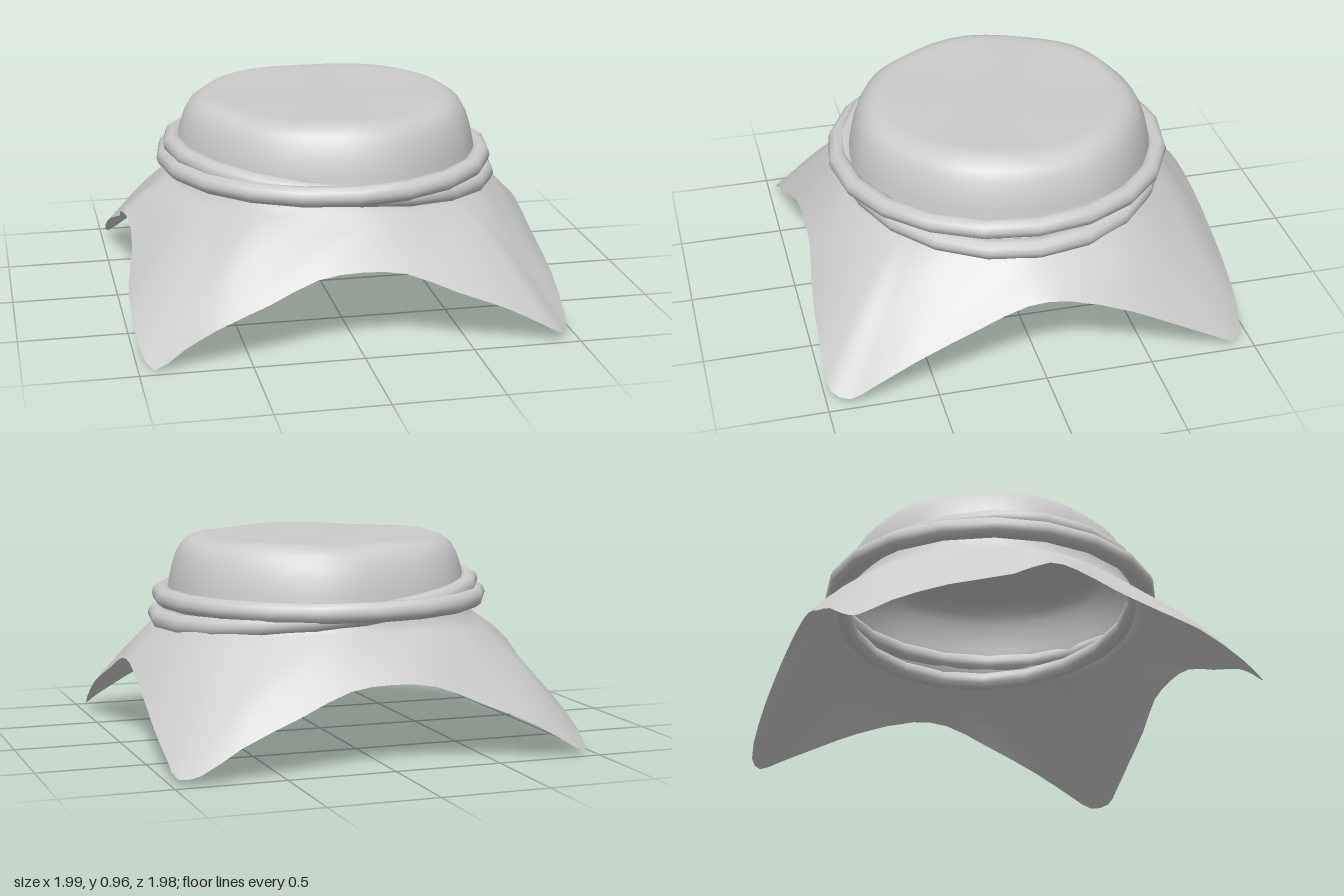
import * as THREE from 'three';

const material = new THREE.MeshStandardMaterial({ color: 0xcccccc, side: THREE.DoubleSide });
const CX = 0.03, CZ = -0.015; // centre of the round lid
const COLS = 80, SKIRT = 10;

// Lid profile: radius, height, from the middle of the top down to the tied neck
const lid = [
  [0.2, 0.965], [0.4, 0.965], [0.52, 0.968], [0.57, 0.968], [0.615, 0.953], [0.65, 0.925],
  [0.675, 0.88], [0.695, 0.82], [0.71, 0.75], [0.715, 0.68], [0.735, 0.61],
];

// Hem of the square cloth: x, y, z, going round from the front middle to the left
const hem = [
  [0, 0.39, 0.935], [0.2, 0.37, 0.94], [0.42, 0.28, 0.97], [0.65, 0.19, 0.985], [0.82, 0.1, 0.985],
  [0.91, 0.05, 0.975], [0.965, 0.035, 0.9], [0.98, 0.09, 0.8], [0.985, 0.2, 0.6], [0.97, 0.32, 0.3],
  [0.965, 0.4, 0.08], [0.97, 0.4, -0.1], [0.985, 0.3, -0.4], [0.99, 0.2, -0.6], [0.98, 0.09, -0.8],
  [0.965, 0.03, -0.91], [0.88, 0.05, -0.97], [0.7, 0.16, -0.985], [0.42, 0.28, -0.98], [0.2, 0.37, -0.965],
  [0, 0.39, -0.965], [-0.2, 0.37, -0.97], [-0.42, 0.28, -0.98], [-0.68, 0.17, -0.99], [-0.87, 0.06, -0.98],
  [-0.96, 0.02, -0.94], [-0.985, 0.1, -0.8], [-0.975, 0.22, -0.55], [-0.955, 0.33, -0.25], [-0.965, 0.41, -0.08],
  [-0.94, 0.41, 0.05], [-0.945, 0.33, 0.25], [-0.985, 0.24, 0.45], [-0.995, 0.18, 0.62], [-0.98, 0.07, 0.83],
  [-0.93, 0.01, 0.95], [-0.8, 0.1, 0.965], [-0.65, 0.19, 0.98], [-0.42, 0.28, 0.965], [-0.2, 0.37, 0.94],
];

// One continuous cloth: flat lid, rounded shoulder, neck and flared square skirt
function clothGeometry() {
  const curve = new THREE.CatmullRomCurve3(hem.map(p => new THREE.Vector3(...p)), true);
  const rows = lid.length + SKIRT;
  const pos = [CX, 0.965, CZ], index = [];
  for (let i = 0; i < COLS; i++) {
    const h = curve.getPoint(i / COLS);
    const a = Math.atan2(h.x - CX, h.z - CZ);
    const reach = Math.hypot(h.x - CX, h.z - CZ);
    const wobble = 0.007 * Math.sin(3 * a + 1) + 0.005 * Math.sin(7 * a);
    lid.forEach(([r, y], k) => {
      const edge = k > 1 ? 1 : 0;
      const R = r + wobble * edge;
      const dip = k > 1 && k < 5 ? 0.005 * Math.sin(5 * a + 2) : 0;
      pos.push(CX + R * Math.sin(a), y + dip, CZ + R * Math.cos(a));
    });
    const r0 = 0.735 + wobble;
    for (let s = 1; s <= SKIRT; s++) {
      const t = s / SKIRT, R = r0 + (reach - r0) * t;
      const swell = Math.sin(Math.PI * t);
      const y = 0.61 + (h.y - 0.61) * t + swell * (0.03 * (reach - 0.8) / 0.5 + 0.008 * Math.sin(9 * a + 4 * t));
      pos.push(CX + R * Math.sin(a), y, CZ + R * Math.cos(a));
    }
  }
  const at = (i, k) => 1 + (i % COLS) * rows + k;
  for (let i = 0; i < COLS; i++) {
    index.push(0, at(i, 0), at(i + 1, 0));
    for (let k = 0; k < rows - 1; k++) {
      index.push(at(i, k), at(i, k + 1), at(i + 1, k + 1), at(i, k), at(i + 1, k + 1), at(i + 1, k));
    }
  }
  const g = new THREE.BufferGeometry();
  g.setAttribute('position', new THREE.Float32BufferAttribute(pos, 3));
  g.setIndex(index);
  g.computeVertexNormals();
  return g;
}

// A loop of cord with a coarse round outline
function cord(name, x, y, z, rx, rz, tilt) {
  const geo = new THREE.TorusGeometry(1, 0.047, 10, 20);
  const p = geo.attributes.position;
  for (let i = 0; i < p.count; i++) {
    // stretch the centre line only, so the cord stays round
    const a = Math.atan2(p.getY(i), p.getX(i));
    const off = Math.hypot(p.getX(i), p.getY(i)) - 1;
    p.setXY(i, Math.cos(a) * (rx + off), Math.sin(a) * (rz + off));
  }
  geo.rotateX(-Math.PI / 2).rotateZ(tilt);
  geo.computeVertexNormals();
  // weld the shading across both closing seams of the loop
  const n = geo.attributes.normal, across = 21;
  const weld = (i, j) => {
    const v = new THREE.Vector3().fromBufferAttribute(n, i)
      .add(new THREE.Vector3().fromBufferAttribute(n, j)).normalize();
    n.setXYZ(i, v.x, v.y, v.z);
    n.setXYZ(j, v.x, v.y, v.z);
  };
  for (let j = 0; j <= 10; j++) weld(j * across, j * across + 20);
  for (let i = 0; i <= 20; i++) weld(i, 10 * across + i);
  const mesh = new THREE.Mesh(geo, material);
  mesh.name = name;
  mesh.position.set(x, y, z);
  return mesh;
}

export function createModel() {
  const group = new THREE.Group();
  group.name = 'clothJarCover';

  const cloth = new THREE.Mesh(clothGeometry(), material);
  cloth.name = 'cloth';
  group.add(cloth);

  // Two turns of cord: one level, one slanting down towards the left
  group.add(cord('levelCord', 0.012, 0.685, -0.01, 0.757, 0.765, 0));
  group.add(cord('slantedCord', 0.04, 0.668, -0.01, 0.757, 0.725, -0.108));
  return group;
}
